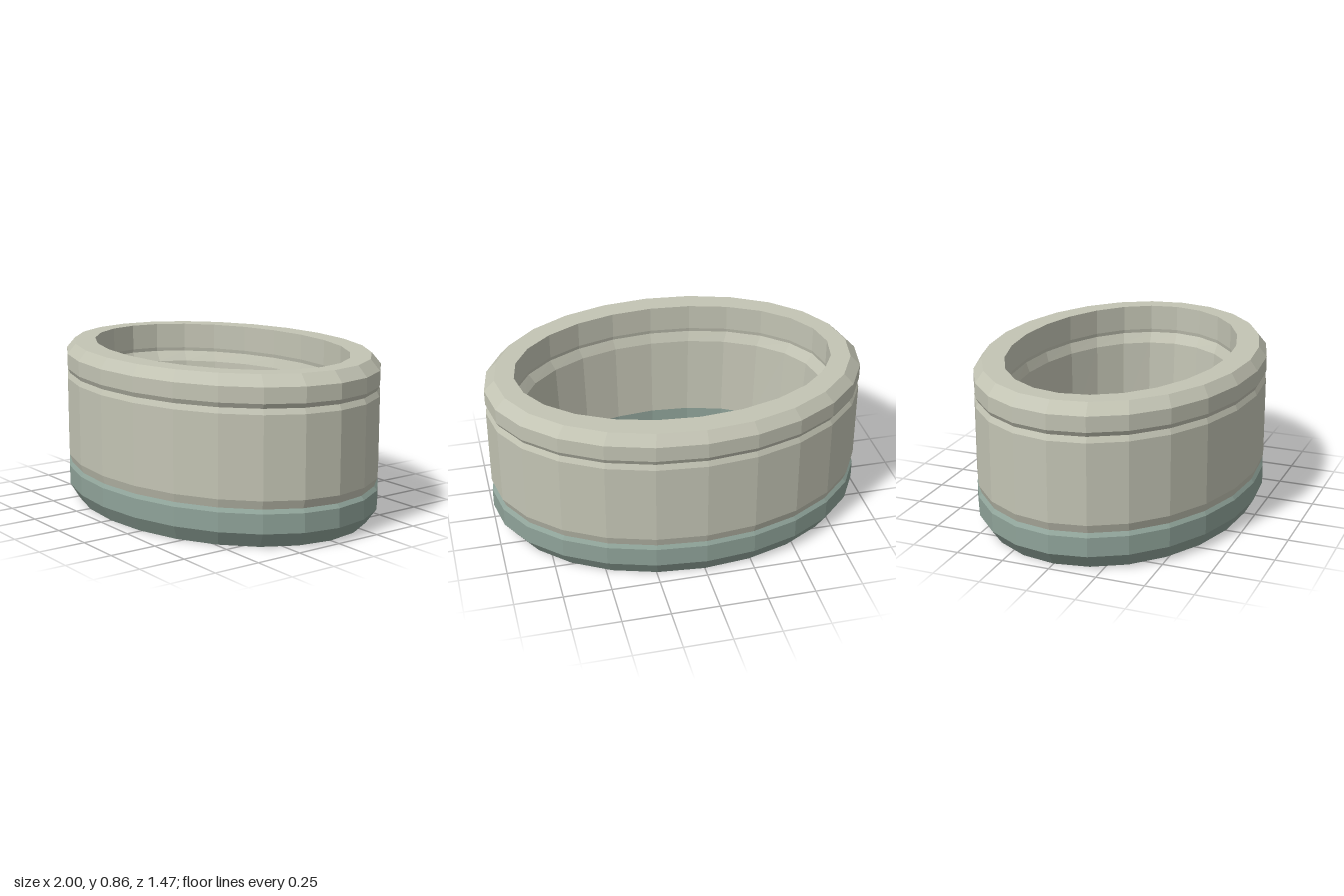
import * as THREE from 'three';

const SIDES = 24;

// Sweeps a profile of [x radius, z radius, y] points round an oval.
// The points run down the inside, outward, then up the outside.
function ovalBand(name, profile, material) {
  const positions = [];
  const index = [];
  for (const [rx, rz, y] of profile) {
    for (let s = 0; s < SIDES; s++) {
      const t = (s / SIDES) * Math.PI * 2;
      positions.push(rx * Math.cos(t), y, rz * Math.sin(t));
    }
  }
  for (let i = 0; i < profile.length - 1; i++) {
    for (let s = 0; s < SIDES; s++) {
      const n = (s + 1) % SIDES;
      const a = i * SIDES + s, b = i * SIDES + n;
      const c = a + SIDES, d = b + SIDES;
      index.push(a, c, b, b, c, d);
    }
  }
  const indexed = new THREE.BufferGeometry();
  indexed.setAttribute('position', new THREE.Float32BufferAttribute(positions, 3));
  indexed.setIndex(index);
  // Unshared corners give flat facets
  const geometry = indexed.toNonIndexed();
  geometry.computeVertexNormals();
  const mesh = new THREE.Mesh(geometry, material);
  mesh.name = name;
  return mesh;
}

export function createModel() {
  const stone = new THREE.MeshStandardMaterial({ name: 'pale stone', color: 0xc3c4b4, flatShading: true });
  const green = new THREE.MeshStandardMaterial({ name: 'grey green', color: 0x8fa399, flatShading: true });

  const outer = (scale, y) => [scale, 0.737 * scale, y];
  const group = new THREE.Group();
  group.name = 'ovalRing';

  // Green foot with a chamfered lower edge
  group.add(ovalBand('base', [
    [0.787, 0.545, 0.2], [0.785, 0.543, 0],
    outer(0.938, 0), outer(1, 0.08), outer(1, 0.18), outer(0.982, 0.2),
  ], green));

  // Main wall, bevelled into the grooves above and below
  group.add(ovalBand('wallOutside', [
    outer(0.982, 0.2), outer(1, 0.245), outer(1, 0.667), outer(0.984, 0.695),
  ], stone));
  group.add(ovalBand('wallInside', [
    [0.847, 0.577, 0.695], [0.81, 0.558, 0.64], [0.787, 0.545, 0.2],
  ], stone));

  // Rim with a chamfered upper edge and a flat top
  group.add(ovalBand('rim', [
    outer(0.984, 0.695), outer(1, 0.72), outer(1, 0.8), outer(0.945, 0.855),
    [0.843, 0.573, 0.855], [0.843, 0.573, 0.715], [0.847, 0.577, 0.695],
  ], stone));

  return group;
}
